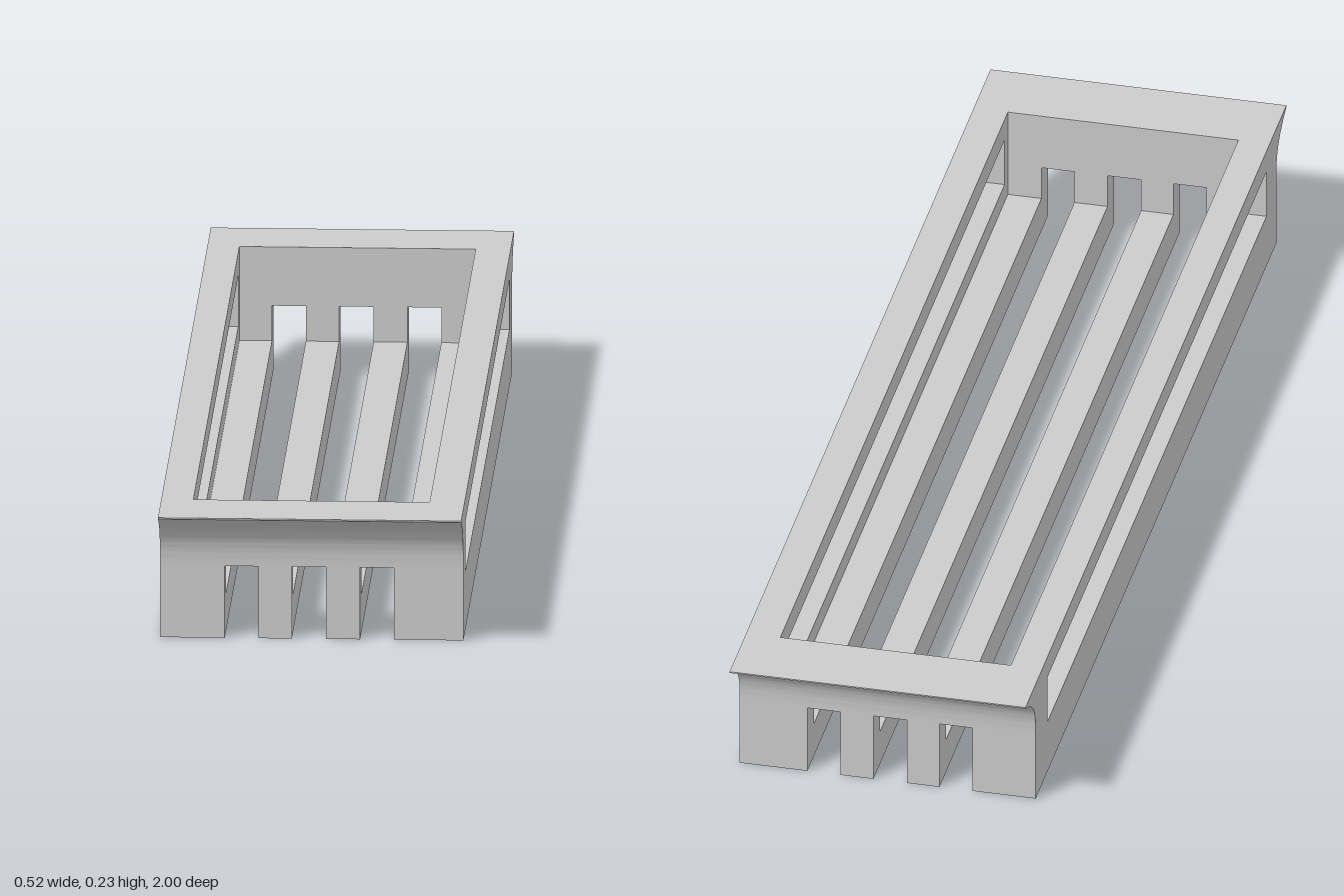
import * as THREE from 'three';
import { toCreasedNormals } from 'three/addons/utils/BufferGeometryUtils.js';

const W = 0.26, H = 0.231, FLOOR = 0.065, NOTCH = 0.127; // half width and key heights
const SILL = 0.1, HEAD = 0.19;                           // bottom and top of the side windows
const END = 0.922, INNER = 0.872;                        // outer and inner end wall planes
const BARS = [[-W, -0.149], [-0.091, -0.034], [0.025, 0.083], [0.141, W]];

export function createModel() {
  const group = new THREE.Group();
  const grey = new THREE.MeshStandardMaterial({ color: 0xcccccc });
  grey.name = 'plain grey';

  const add = (name, geometry) => {
    const mesh = new THREE.Mesh(geometry, grey);
    mesh.name = name;
    group.add(mesh);
    return mesh;
  };
  // Box given by its extents on each axis
  const block = (name, x0, x1, y0, y1, z0, z1) => {
    const mesh = add(name, new THREE.BoxGeometry(x1 - x0, y1 - y0, z1 - z0));
    mesh.position.set((x0 + x1) / 2, (y0 + y1) / 2, (z0 + z1) / 2);
  };

  // Floor bars with open slots between them, and the teeth of the end walls above
  for (const [x0, x1] of BARS) {
    block('floorBar', x0, x1, 0, FLOOR, -END, END);
    block('frontTooth', x0, x1, FLOOR, NOTCH, INNER, END);
    block('backTooth', x0, x1, FLOOR, NOTCH, -END, -INNER);
  }

  // Side walls: a low sill, a top rail and short posts leave one long window
  for (const [side, x0, x1] of [['right', -W, -0.205], ['left', 0.2, W]]) {
    block(side + 'Sill', x0, x1, FLOOR, SILL, -INNER, INNER);
    block(side + 'Rail', x0, x1, HEAD, H, -INNER, INNER);
    block(side + 'FrontPost', x0, x1, SILL, HEAD, 0.847, INNER);
    block(side + 'BackPost', x0, x1, SILL, HEAD, -INNER, -0.83);
  }

  // End walls above the notches, curving out to a thin lip
  const profile = new THREE.Shape();
  profile.moveTo(INNER, NOTCH);
  profile.lineTo(END, NOTCH);
  profile.bezierCurveTo(END, 0.18, 0.935, 0.2, 1, 0.2285);
  profile.lineTo(1, H);
  profile.lineTo(INNER, H);
  profile.closePath();
  const extruded = new THREE.ExtrudeGeometry(profile, { depth: 2 * W, bevelEnabled: false, curveSegments: 32 });
  extruded.translate(0, 0, -W);
  const lip = toCreasedNormals(extruded, 0.6);
  add('frontFlaredWall', lip).rotation.y = -Math.PI / 2;
  add('backFlaredWall', lip).rotation.y = Math.PI / 2;

  return group;
}
